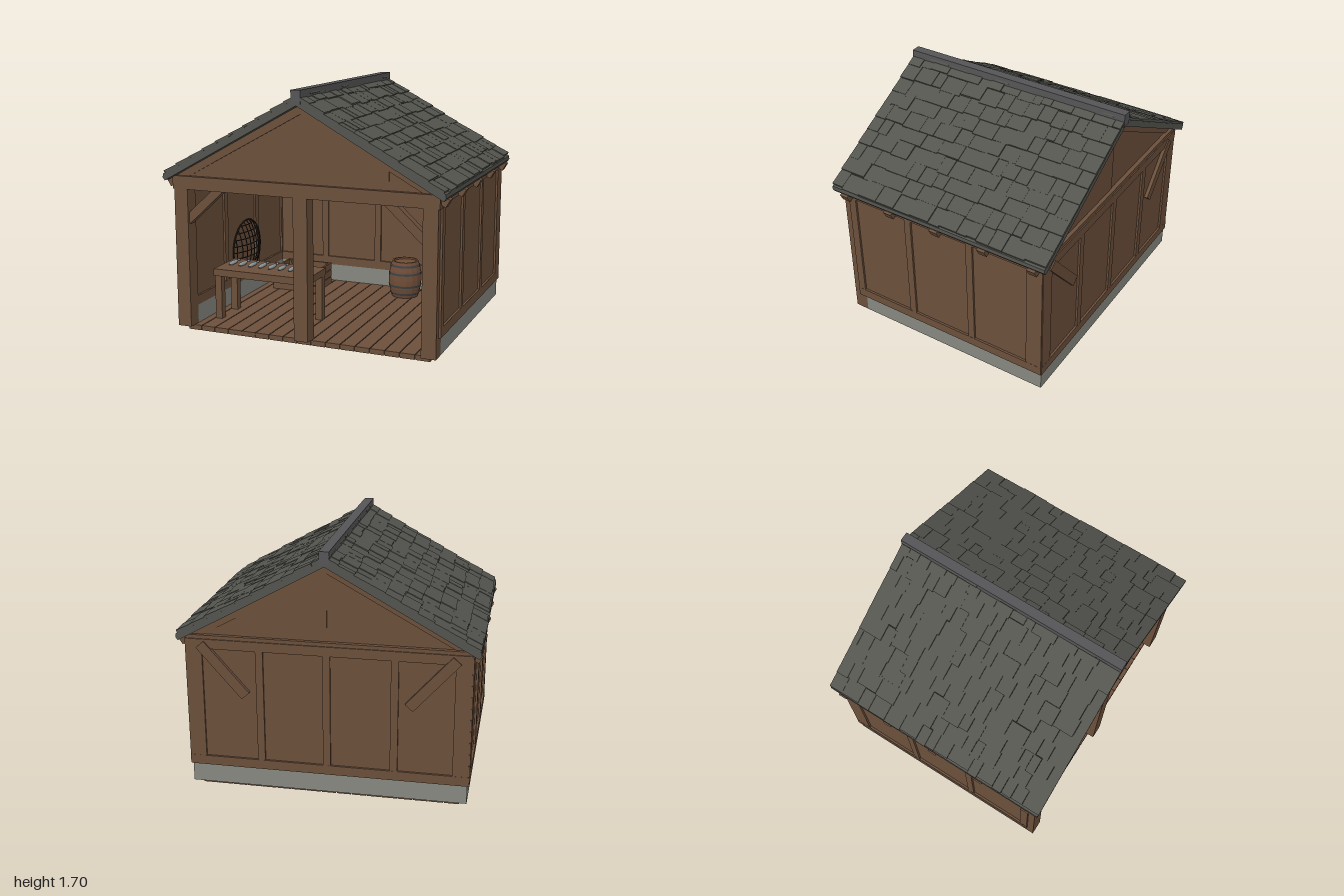
import * as THREE from 'three';
import { mergeGeometries } from 'three/addons/utils/BufferGeometryUtils.js';

const mat = (name, color, extra = {}) => new THREE.MeshStandardMaterial({ name, color, ...extra });

export function createModel() {
  const model = new THREE.Group();
  model.name = 'openShed';
  const wood = mat('brownTimber', 0x6b4f3b);
  const barrelWood = mat('barrelOak', 0x704d37);
  const stone = mat('greyStone', 0x86877f);
  const slate = mat('slate', 0x53544e);
  const ridgeMat = mat('ridgeSlate', 0x555557);
  const iron = mat('iron', 0x3b4145);
  const cord = mat('darkCord', 0x2a231d);
  const silver = mat('fishSilver', 0x8f9698);

  let seed = 17;
  const rand = () => (seed = (seed * 16807) % 2147483647) / 2147483647;

  const mesh = (name, geo, material, parent = model) => {
    const m = new THREE.Mesh(geo, material);
    m.name = name;
    parent.add(m);
    return m;
  };
  const part = (name) => {
    const g = new THREE.Group();
    g.name = name;
    model.add(g);
    return g;
  };
  // box given by its extents on each axis
  const span = (name, [x0, x1], [y0, y1], [z0, z1], material, parent = model) => {
    const m = mesh(name, new THREE.BoxGeometry(x1 - x0, y1 - y0, z1 - z0), material, parent);
    m.position.set((x0 + x1) / 2, (y0 + y1) / 2, (z0 + z1) / 2);
    return m;
  };
  // outline in x and y, extruded between two z values
  const slab = (name, pts, z0, z1, material, parent = model) => {
    const shape = new THREE.Shape(pts.map(([x, y]) => new THREE.Vector2(x, y)));
    const geo = new THREE.ExtrudeGeometry(shape, { depth: z1 - z0, bevelEnabled: false });
    return mesh(name, geo.translate(0, 0, z0), material, parent);
  };
  // square beam between two points in a plane of constant z
  const brace = (name, a, b, z, width, depth) => {
    const dx = b[0] - a[0], dy = b[1] - a[1];
    const m = mesh(name, new THREE.BoxGeometry(Math.hypot(dx, dy), width, depth), wood);
    m.position.set((a[0] + b[0]) / 2, (a[1] + b[1]) / 2, z);
    m.rotation.z = Math.atan2(dy, dx);
  };

  // plank floor
  const floor = part('floor');
  const planks = 17, pitch = 1.76 / planks;
  for (let i = 0; i < planks; i++) {
    const x = -0.88 + i * pitch;
    span('floorPlank', [x + 0.003, x + pitch - 0.003], [0, 0.035], [-0.73, 0.73], wood, floor);
  }
  span('floorBase', [-0.875, 0.875], [0.004, 0.028], [-0.725, 0.725], wood, floor);

  // stone footing
  for (const s of [-1, 1]) {
    const xs = s > 0 ? [0.83, 0.93] : [-0.93, -0.83];
    span('sideFooting', xs, [0.035, 0.165], [-0.78, 0.68], stone);
  }
  span('backFooting', [-0.83, 0.83], [0.035, 0.165], [-0.78, -0.68], stone);

  // framed walls: thin panel with thicker rails and studs
  const framedWall = (name, alongZ, at, from, to, studs) => {
    const g = part(name);
    const piece = (n, u, y, t) => {
      const across = [at - t / 2, at + t / 2];
      span(n, alongZ ? across : u, y, alongZ ? u : across, wood, g);
    };
    piece('wallPanel', [from + 0.01, to - 0.01], [0.17, 1.06], 0.085);
    piece('bottomRail', [from, to], [0.165, 0.23], 0.115);
    piece('topRail', [from, to], [alongZ ? 1.02 : 1.0, 1.065], 0.115);
    for (const [a, b] of studs) piece('wallStud', [a, b], [0.23, 1.02], 0.113);
  };
  const sideStuds = [[-0.785, -0.67], [-0.265, -0.215], [0.22, 0.27], [0.675, 0.73]];
  framedWall('rightWall', true, -0.8875, -0.785, 0.73, sideStuds);
  framedWall('leftWall', true, 0.8875, -0.785, 0.73, sideStuds);
  framedWall('backWall', false, -0.7325, -0.94, 0.94,
    [[-0.935, -0.83], [-0.47, -0.42], [-0.025, 0.025], [0.42, 0.47], [0.83, 0.935]]);

  // front posts and tie beams
  for (const x of [-0.88, 0, 0.88]) {
    span('frontPost', [x - 0.05, x + 0.05], [0.035, 1.06], [0.68, 0.78], wood);
  }
  span('frontBeam', [-0.94, 0.94], [1.0, 1.09], [0.68, 0.782], wood);
  span('backBeam', [-0.94, 0.94], [1.0, 1.09], [-0.782, -0.68], wood);

  // diagonal braces
  for (const s of [-1, 1]) {
    brace('frontBrace', [s * 0.85, 0.78], [s * 0.59, 1.02], 0.73, 0.06, 0.06);
    brace('backBrace', [s * 0.84, 1.03], [s * 0.54, 0.69], -0.7325, 0.07, 0.135);
  }

  // gables with one slightly proud board on each half
  for (const s of [-1, 1]) {
    const face = s * 0.752, inner = s * 0.69;
    slab('gable', [[-0.94, 1.07], [0.94, 1.07], [0, 1.6]],
      Math.min(face, inner), Math.max(face, inner), wood);
    const proud = s * 0.756;
    slab('gableBoard', [[0, 1.07], [0.6, 1.07], [0.6, 1.26], [0, 1.6]],
      Math.min(proud, inner), Math.max(proud, inner), wood);
  }

  // roof: the same half turned round for each slope
  const slope = 0.553, angle = Math.atan(slope);
  for (const turn of [0, Math.PI]) {
    const half = part(turn ? 'rightRoof' : 'leftRoof');
    slab('roofDeck', [[0, 1.65], [0, 1.6], [0.975, 1.06], [0.99, 1.08], [0.988, 1.105]],
      -0.825, 0.825, slate, half);
    for (let i = -2; i <= 2; i++) {
      slab('rafter', [[0, 1.605], [0, 1.54], [0.968, 1.01], [0.997, 1.06]],
        i * 0.365 - 0.03, i * 0.365 + 0.03, wood, half);
    }
    // staggered shingles
    const shingles = [];
    for (let row = 0; row < 10; row++) {
      let z = -0.83;
      while (z < 0.83) {
        let end = z + 0.06 + rand() * 0.11;
        if (end > 0.79) end = 0.83;
        const thick = 0.013 + rand() * 0.009;
        const x = 0.037 + row * 0.1 - rand() * 0.018;
        const geo = new THREE.BoxGeometry(0.125, thick, end - z - 0.002);
        geo.rotateZ(-angle + 0.05);
        geo.translate(x, 1.652 - slope * x + thick * 0.35, (z + end) / 2);
        shingles.push(geo);
        z = end;
      }
    }
    mesh('shingles', mergeGeometries(shingles), slate, half);
    half.rotation.y = turn;
  }
  span('ridgeCap', [-0.033, 0.033], [1.61, 1.7], [-0.832, 0.832], ridgeMat);

  // table with fish laid across it
  const table = part('table');
  span('tableTop', [-0.77, -0.05], [0.35, 0.4], [0.24, 0.56], wood, table);
  for (const x of [-0.77, -0.1]) for (const z of [0.26, 0.49]) {
    span('tableLeg', [x, x + 0.05], [0.035, 0.35], [z, z + 0.05], wood, table);
  }
  for (let i = 0; i < 8; i++) {
    const x = -0.697 + i * 0.0767, z = 0.4;
    const body = mesh('fishBody', new THREE.SphereGeometry(1, 10, 8), silver, table);
    body.scale.set(0.017, 0.014, 0.065);
    body.position.set(x, 0.414, z);
    const tail = mesh('fishTail', new THREE.ConeGeometry(0.018, 0.035, 4), silver, table);
    tail.scale.z = 0.4;
    tail.rotation.x = Math.PI / 2;
    tail.position.set(x, 0.414, z - 0.07);
  }

  // slatted crate
  const crate = part('crate');
  span('crateBottom', [-0.715, -0.365], [0.035, 0.05], [-0.575, -0.285], wood, crate);
  for (let i = 0; i < 3; i++) {
    const y = [0.037 + i * 0.058, 0.089 + i * 0.058];
    for (const z of [-0.58, -0.295]) span('crateSlat', [-0.72, -0.355], y, [z, z + 0.015], wood, crate);
    for (const x of [-0.72, -0.37]) span('crateEndSlat', [x, x + 0.015], y, [-0.565, -0.295], wood, crate);
  }
  for (const x of [-0.705, -0.39]) for (const z of [-0.565, -0.315]) {
    span('crateCorner', [x, x + 0.02], [0.04, 0.2], [z, z + 0.02], wood, crate);
  }

  // barrels with iron hoops
  const radiusAt = (h) => 0.098 + 0.026 * (1 - ((h - 0.1375) / 0.1375) ** 2);
  for (const x of [0.29, 0.58]) {
    const barrel = part('barrel');
    const profile = [[0, 0], [0.098, 0]];
    for (let i = 1; i <= 8; i++) profile.push([radiusAt(i * 0.034375), i * 0.034375]);
    profile.push([0.085, 0.275], [0.085, 0.262], [0, 0.262]);
    const geo = new THREE.LatheGeometry(profile.map(([r, h]) => new THREE.Vector2(r, h)), 16).toNonIndexed();
    geo.computeVertexNormals();
    mesh('barrelStaves', geo, barrelWood, barrel);
    for (const h of [0.03, 0.09, 0.185, 0.245]) {
      const hoop = mesh('barrelHoop',
        new THREE.CylinderGeometry(radiusAt(h + 0.008) + 0.004, radiusAt(h - 0.008) + 0.004, 0.016, 16, 1, true),
        iron, barrel);
      hoop.position.y = h;
    }
    barrel.position.set(x, 0.035, -0.5);
  }

  // domed net hanging on the side wall
  const net = part('hangingNet');
  const R = 0.215;
  const dome = (u, v) => new THREE.Vector3(0.062 * (1 - (u * u + v * v) / (R * R)), u, v);
  for (let i = -4; i <= 4; i++) {
    const u = i * 0.046, reach = Math.sqrt(R * R - u * u);
    for (const upright of [true, false]) {
      const pts = [];
      for (let k = -4; k <= 4; k++) {
        const v = (k / 4) * reach;
        pts.push(upright ? dome(v, u) : dome(u, v));
      }
      mesh('netCord', new THREE.TubeGeometry(new THREE.CatmullRomCurve3(pts), 12, 0.004, 5), cord, net);
    }
  }
  mesh('netRim', new THREE.TorusGeometry(R, 0.006, 6, 32), cord, net).rotation.y = Math.PI / 2;
  net.position.set(-0.828, 0.405, -0.06);

  return model;
}
